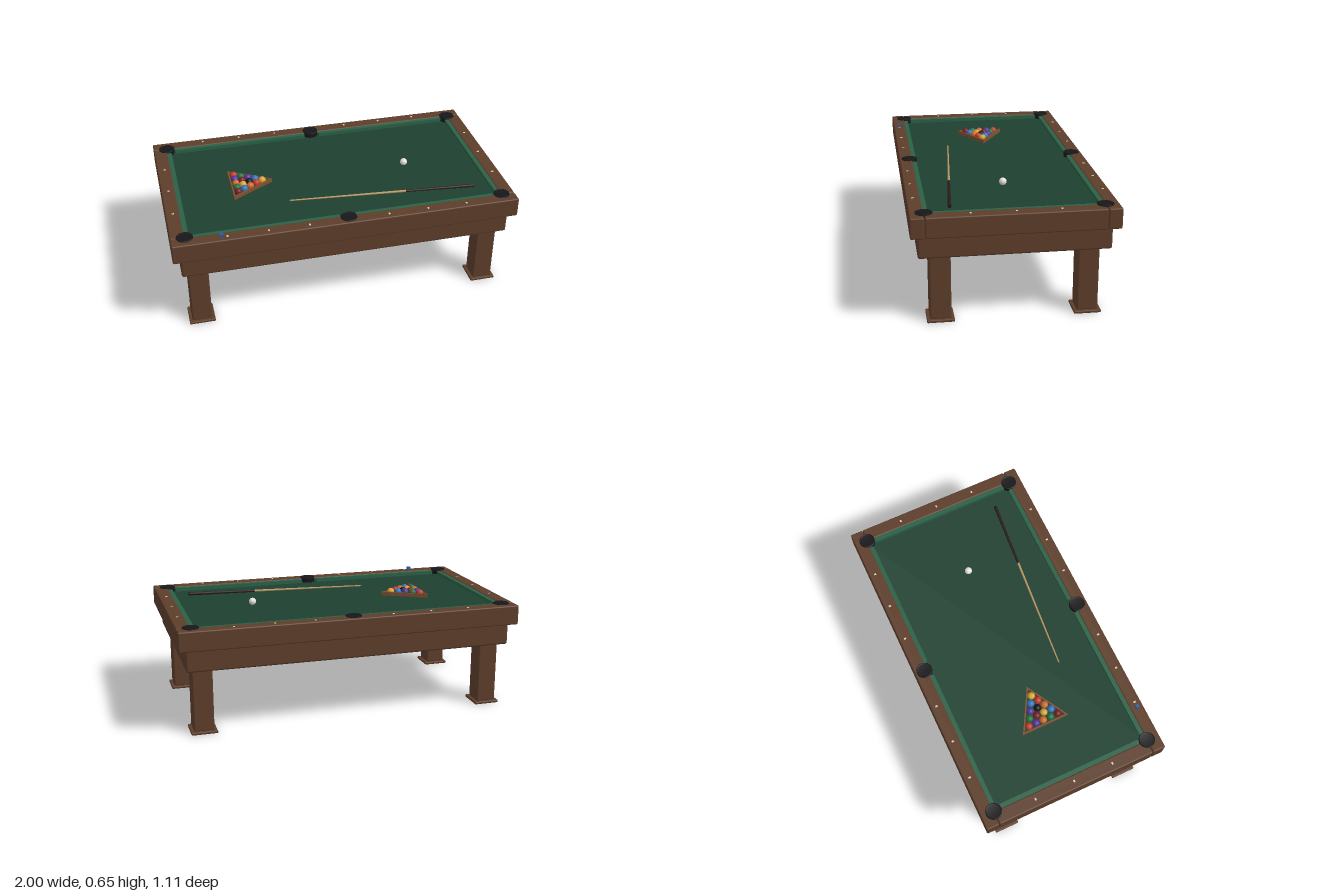
import * as THREE from 'three';
import { RoundedBoxGeometry } from 'three/addons/geometries/RoundedBoxGeometry.js';

const CLOTH_Y = 0.602, RAIL_Y = 0.628;

export function createModel() {
  const table = new THREE.Group();
  table.name = 'poolTable';

  const materials = {};
  const mat = (color) => (materials[color] ??= new THREE.MeshStandardMaterial({ color }));
  const WOOD = 0x5c3d2a, CLOTH = 0x1d4030, CUSHION = 0x2a6045, BLACK = 0x17171a;

  const add = (name, geometry, color, x = 0, y = 0, z = 0, parent = table) => {
    const mesh = new THREE.Mesh(geometry, mat(color));
    mesh.name = name;
    mesh.position.set(x, y, z);
    parent.add(mesh);
    return mesh;
  };
  // Rounded box given by its centre in plan and its bottom and top heights
  const block = (name, w, d, y0, y1, x, z, r, color = WOOD) =>
    add(name, new RoundedBoxGeometry(w, y1 - y0, d, 3, r), color, x, (y0 + y1) / 2, z);

  // Legs and feet
  for (const sx of [-1, 1]) for (const sz of [-1, 1]) {
    block('leg', 0.117, 0.117, 0.012, 0.4, sx * 0.863, sz * 0.401, 0.01);
    block('foot', 0.15, 0.15, 0, 0.016, sx * 0.863, sz * 0.401, 0.005);
  }

  // Apron and playing bed
  block('apron', 1.914, 1.036, 0.383, 0.53, 0, 0, 0.012);
  add('cloth', new THREE.BoxGeometry(1.85, 0.09, 0.97), CLOTH, 0, CLOTH_Y - 0.045, 0);

  // Rails
  for (const s of [-1, 1]) {
    block('longRail', 2, 0.076, 0.512, RAIL_Y, 0, s * 0.519, 0.008);
    block('endRail', 0.08, 0.958, 0.512, RAIL_Y, s * 0.96, 0, 0.008);
  }

  // Cushions: a trapezoid in plan, the nose on its short side
  const cushion = (length, x, z, turn) => {
    const h = length / 2, depth = 0.026, cut = 0.016;
    const shape = new THREE.Shape([
      new THREE.Vector2(-h, 0), new THREE.Vector2(h, 0),
      new THREE.Vector2(h - cut, depth), new THREE.Vector2(-h + cut, depth),
    ]);
    const geometry = new THREE.ExtrudeGeometry(shape, { depth: 0.024, bevelEnabled: false });
    geometry.rotateX(-Math.PI / 2);
    add('cushion', geometry, CUSHION, x, CLOTH_Y - 0.002, z).rotation.y = turn;
  };
  for (const s of [-1, 1]) {
    cushion(0.85, s * 0.46, 0.483, 0);
    cushion(0.85, s * 0.46, -0.483, Math.PI);
    cushion(0.9, s * 0.921, 0, s * Math.PI / 2);
  }

  // Pockets: a cup with a raised rolled rim
  const cup = new THREE.LatheGeometry([
    [0.038, 0.58], [0.046, 0.6], [0.047, 0.629], [0.045, 0.6325], [0.041, 0.6325],
    [0.038, 0.6295], [0, 0.629],
  ].map(([r, y]) => new THREE.Vector2(r, y)), 32);
  for (const sz of [-1, 1]) {
    for (const sx of [-1, 1]) add('cornerPocket', cup, BLACK, sx * 0.92, 0, sz * 0.48);
    add('sidePocket', cup, BLACK, 0, 0, sz * 0.498);
  }

  // Sight markers along the rails
  const sight = new THREE.BoxGeometry(0.01, 0.003, 0.014);
  for (const s of [-1, 1]) {
    for (const x of [-0.69, -0.46, -0.23, 0.23, 0.46, 0.69])
      add('sightMarker', sight, 0xd8cdb0, x, RAIL_Y + 0.0005, s * 0.522);
    for (const z of [-0.24, 0, 0.24])
      add('sightMarker', sight, 0xd8cdb0, s * 0.957, RAIL_Y + 0.0005, z).rotation.y = Math.PI / 2;
  }

  // Balls: five rows widening away from the apex, plus the cue ball
  const R = 0.0215, STEP = 0.0456;
  const ball = new THREE.SphereGeometry(R, 24, 16);
  const red = 0xc03a2b, blue = 0x2f74c0, yellow = 0xd9a32e, purple = 0x55349a,
    orange = 0xc9692a, green = 0x23703f, maroon = 0x742024;
  const rows = [
    [yellow], [blue, red], [purple, BLACK, orange],
    [green, maroon, yellow, blue], [red, purple, orange, green, maroon],
  ];
  rows.forEach((row, i) => row.forEach((color, j) =>
    add('rackedBall', ball, color, -0.403 - i * STEP * 0.866, CLOTH_Y + R, (j - i / 2) * STEP)));
  add('cueBall', ball, 0xe6e2d8, 0.475, CLOTH_Y + R, 0);

  // Triangular rack
  const triangle = (back, tip, half) => [
    new THREE.Vector2(back, -half), new THREE.Vector2(tip, 0), new THREE.Vector2(back, half)];
  const rackShape = new THREE.Shape(triangle(-0.592, -0.343, 0.143));
  rackShape.holes.push(new THREE.Path(triangle(-0.584, -0.359, 0.129)));
  const rack = new THREE.ExtrudeGeometry(rackShape, { depth: 0.022, bevelEnabled: false });
  rack.rotateX(-Math.PI / 2);
  add('rack', rack, 0x80502f, 0, CLOTH_Y, 0);

  // Cue lying on the cloth, built along +x from tip to butt
  const cue = new THREE.Group();
  cue.name = 'cue';
  cue.position.set(-0.29, CLOTH_Y + 0.01, 0.237);
  cue.rotation.y = -Math.atan2(0.098, 1.1);
  table.add(cue);
  const section = (name, x0, x1, r0, r1, color) => {
    const geometry = new THREE.CylinderGeometry(r0, r1, x1 - x0, 16);
    geometry.rotateZ(Math.PI / 2);
    add(name, geometry, color, (x0 + x1) / 2, 0, 0, cue);
  };
  section('cueTip', 0, 0.008, 0.0035, 0.004, 0x3a5f80);
  section('cueShaft', 0.008, 0.69, 0.004, 0.007, 0xb8935f);
  section('cueButt', 0.69, 1.095, 0.007, 0.01, 0x2a1c18);
  section('cueBumper', 1.095, 1.104, 0.009, 0.008, BLACK);

  // Chalk cube on the rail
  add('chalk', new THREE.BoxGeometry(0.02, 0.02, 0.02), 0x2c5c9c, -0.722, RAIL_Y + 0.01, 0.521);

  return table;
}
